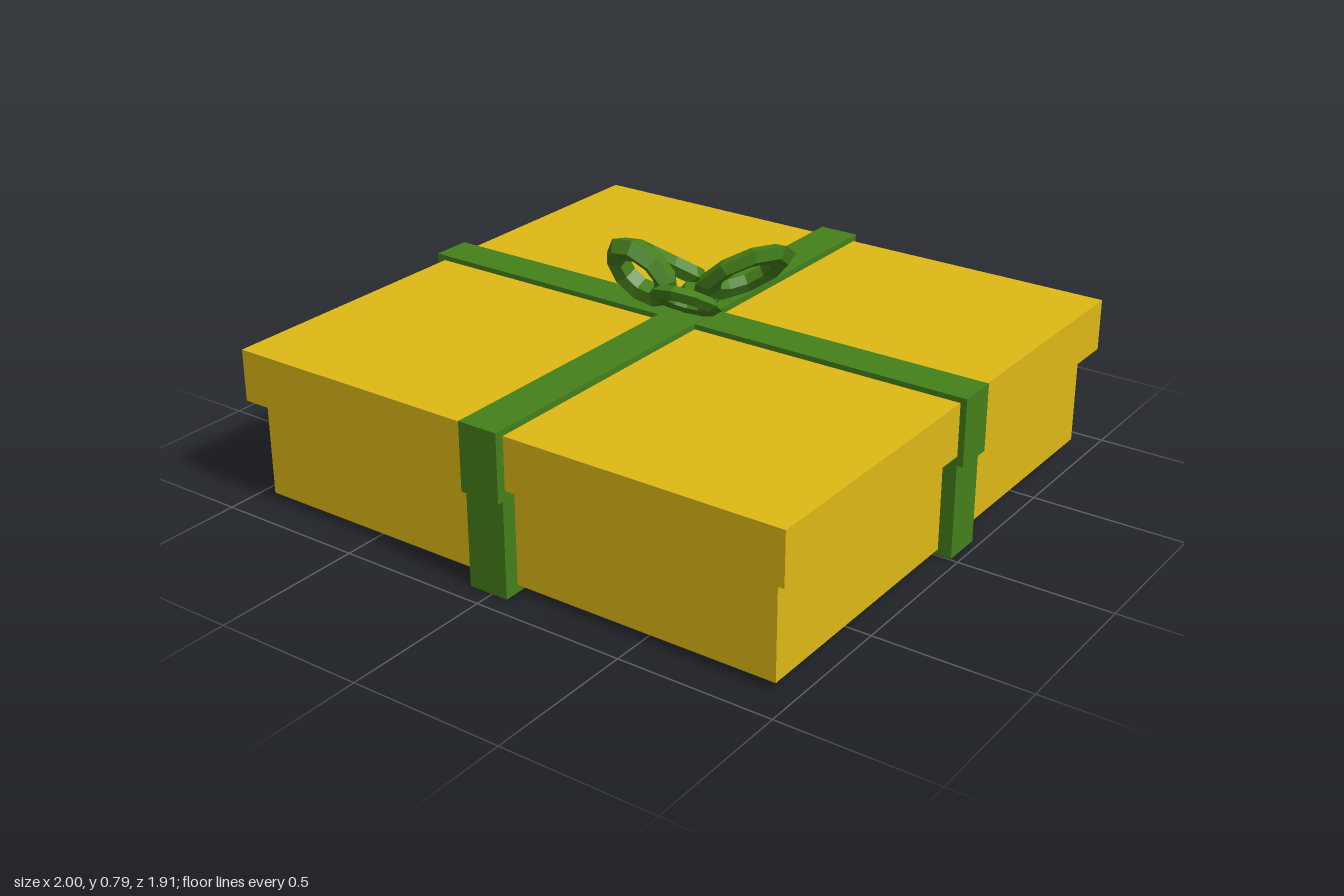
import * as THREE from 'three';

const gold = new THREE.MeshStandardMaterial({ color: 0xdfb915, flatShading: true });
const green = new THREE.MeshStandardMaterial({ color: 0x45801b, flatShading: true });

// Box given by its lower and upper corners
function block(name, material, [x0, y0, z0], [x1, y1, z1]) {
  const mesh = new THREE.Mesh(new THREE.BoxGeometry(x1 - x0, y1 - y0, z1 - z0), material);
  mesh.position.set((x0 + x1) / 2, (y0 + y1) / 2, (z0 + z1) / 2);
  mesh.name = name;
  return mesh;
}

// Faceted ring skewed into a bow loop: u points outward, v across, n is its half depth
function bowLoop(name, centre, u, v, depth) {
  const U = new THREE.Vector3(...u), V = new THREE.Vector3(...v);
  const N = new THREE.Vector3().crossVectors(U, V).setLength(depth);
  const geometry = new THREE.TorusGeometry(1, 0.4, 5, 9);
  geometry.applyMatrix4(new THREE.Matrix4().makeBasis(U, V, N));
  geometry.computeVertexNormals();
  const mesh = new THREE.Mesh(geometry, green);
  mesh.position.set(...centre);
  mesh.name = name;
  return mesh;
}

export function createModel() {
  const model = new THREE.Group();
  model.name = 'giftBox';

  // Box and overhanging lid
  model.add(
    block('boxBase', gold, [-0.925, 0.025, -0.9], [0.935, 0.345, 0.885]),
    block('lid', gold, [-0.97, 0.345, -0.945], [0.98, 0.515, 0.925]),
  );

  // Crossed ribbons, stepped out where they wrap the lid
  const ribbons = new THREE.Group();
  ribbons.name = 'ribbons';
  ribbons.add(
    block('sideRibbonBase', green, [-0.96, 0.007, -0.128], [0.98, 0.33, 0.005]),
    block('sideRibbonLid', green, [-1, 0.315, -0.128], [1, 0.532, 0.005]),
    block('frontRibbonBase', green, [-0.08, 0, -0.925], [0.055, 0.33, 0.935]),
    block('frontRibbonLid', green, [-0.08, 0.315, -0.96], [0.055, 0.535, 0.955]),
  );
  model.add(ribbons);

  // Four-loop bow with a central knot
  const bow = new THREE.Group();
  bow.name = 'bow';
  bow.add(
    bowLoop('leftBackLoop', [-0.18, 0.625, -0.18], [-0.105, 0.02, 0.0], [-0.01, -0.04, -0.068], 0.08),
    bowLoop('rightBackLoop', [0.15, 0.685, -0.12], [0.095, 0.075, -0.025], [-0.025, 0.025, 0.085], 0.07),
    bowLoop('leftFrontLoop', [-0.13, 0.67, 0.025], [-0.09, 0.03, 0.01], [0.015, 0.08, 0.035], 0.1),
    bowLoop('frontLoop', [0.075, 0.64, 0.08], [0.02, 0.055, 0.085], [0.08, 0.0, -0.01], 0.06),
  );
  const knot = new THREE.Mesh(new THREE.IcosahedronGeometry(0.07, 0), green);
  knot.scale.set(1.1, 0.75, 1.2);
  knot.position.set(-0.005, 0.575, -0.09);
  knot.name = 'knot';
  bow.add(knot);
  model.add(bow);

  return model;
}
